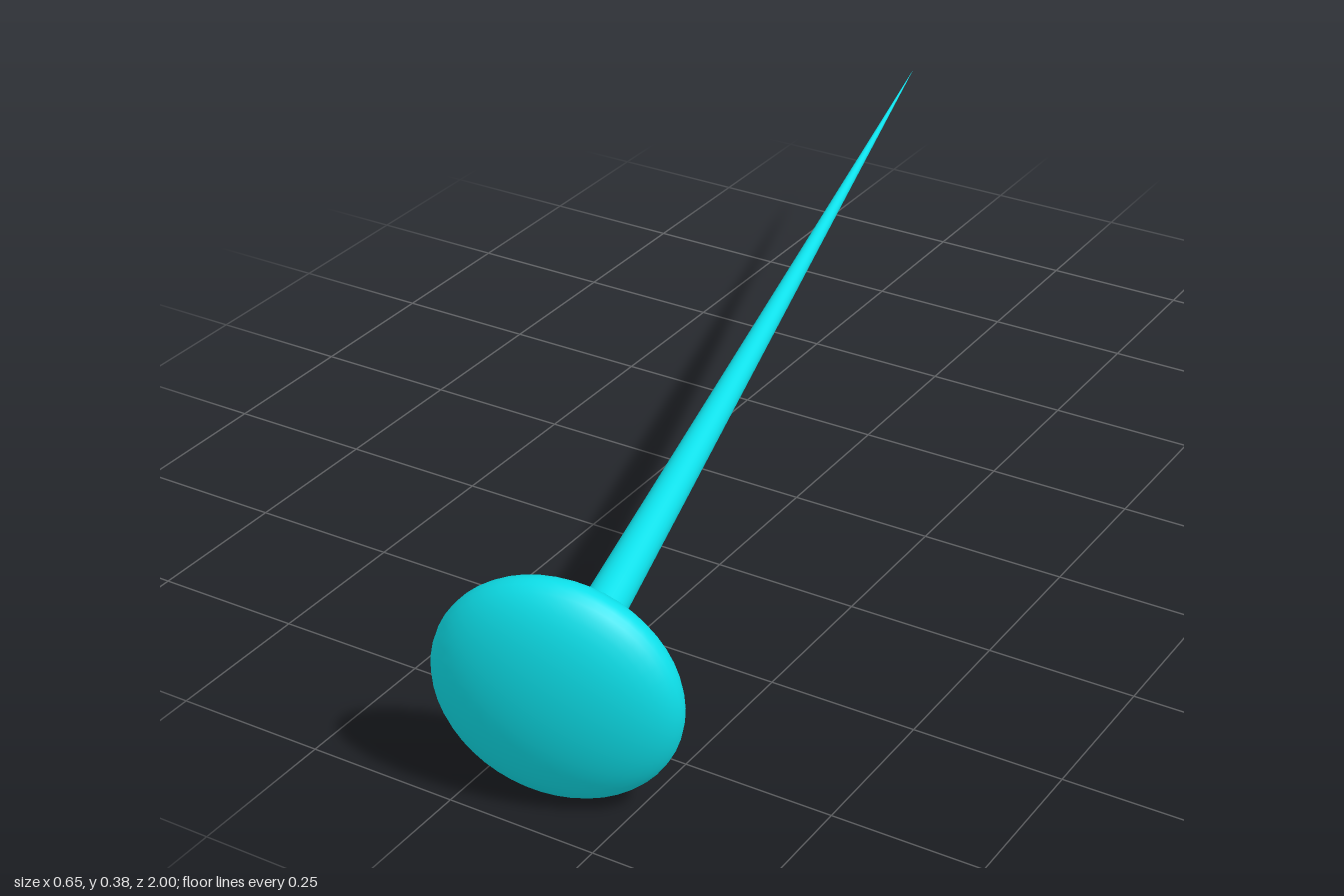
import * as THREE from 'three';

export function createModel() {
  const model = new THREE.Group();
  model.name = 'pushPin';
  const material = new THREE.MeshStandardMaterial({ color: 0x0de0ea });

  // The pin axis runs from the middle of the head to the needle tip
  const headCentre = new THREE.Vector3(0.137, 0.193, 0.911);
  const tip = new THREE.Vector3(-0.325, 0.355, -1);
  const axis = tip.clone().sub(headCentre);
  const length = axis.length();

  const pin = new THREE.Group();
  pin.name = 'pin';
  pin.position.copy(headCentre);
  pin.quaternion.setFromUnitVectors(new THREE.Vector3(0, 1, 0), axis.normalize());
  model.add(pin);

  // Flattened round head
  const head = new THREE.Mesh(new THREE.SphereGeometry(1, 48, 24).scale(0.193, 0.078, 0.193), material);
  head.name = 'head';
  pin.add(head);

  // Long tapered needle, its wide end sunk into the head
  const needle = new THREE.Mesh(new THREE.ConeGeometry(0.0375, length, 32, 8).translate(0, length / 2, 0), material);
  needle.name = 'needle';
  pin.add(needle);

  return model;
}
